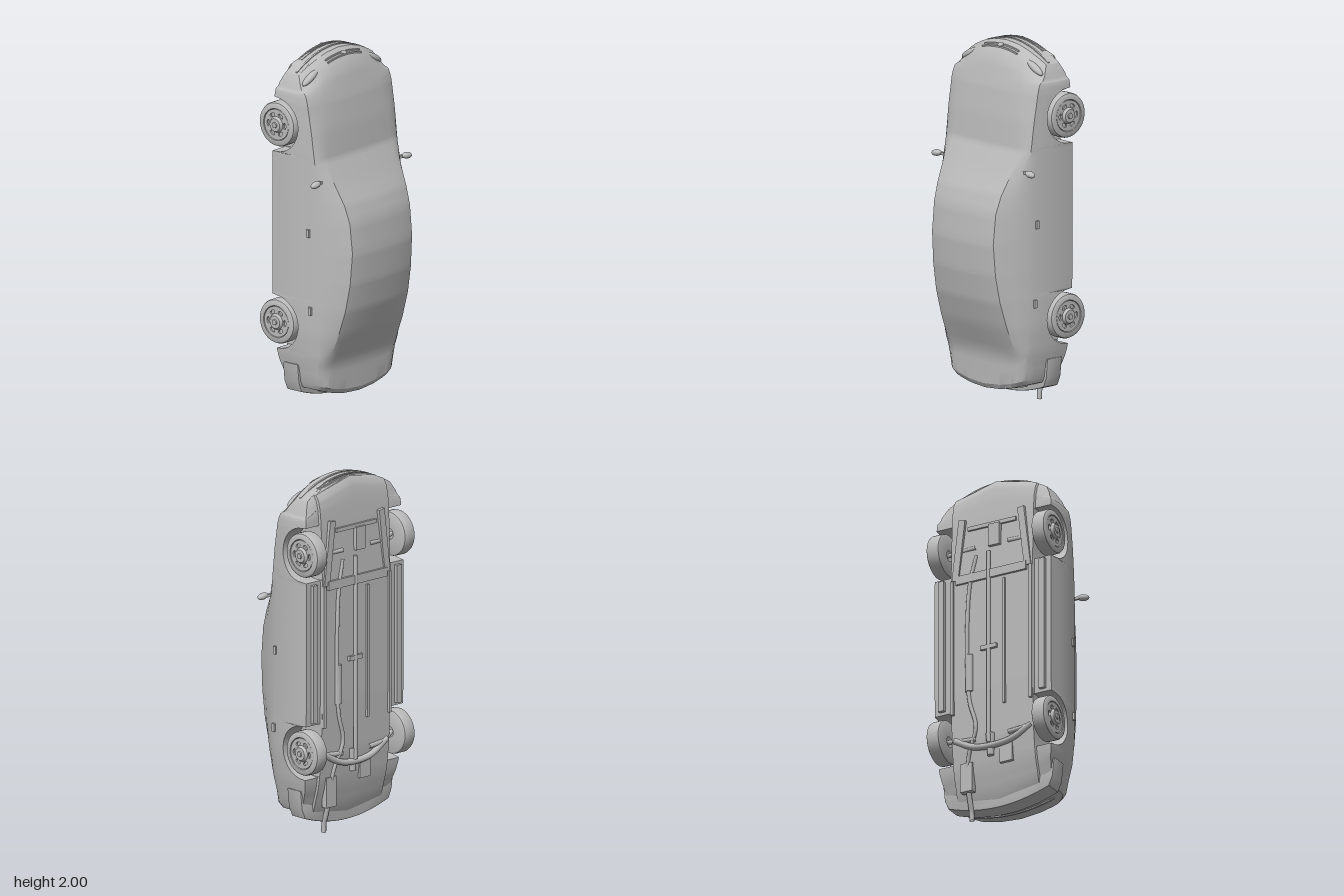
import * as THREE from 'three';
import { toCreasedNormals } from 'three/addons/utils/BufferGeometryUtils.js';

const grey = new THREE.MeshStandardMaterial({ color: 0xbcbcbc, side: THREE.DoubleSide });
grey.name = 'body grey';

const WHEEL_Y = [0.49, 1.61], WHEEL_Z = -0.17, ARCH = 0.152;

// y, half width, roof centre z, roof edge x, roof edge z, belt z, floor z
const PROFILE = [
  [0.075, 0.31, 0.11, 0.24, 0.10, 0.05, -0.13],
  [0.10, 0.325, 0.125, 0.26, 0.115, 0.075, -0.145],
  [0.26, 0.345, 0.13, 0.275, 0.12, 0.09, -0.18],
  [0.32, 0.355, 0.15, 0.275, 0.14, 0.10, -0.19],
  [0.45, 0.368, 0.21, 0.27, 0.19, 0.105, -0.205],
  [0.60, 0.372, 0.26, 0.262, 0.235, 0.105, -0.21],
  [0.75, 0.372, 0.287, 0.255, 0.262, 0.105, -0.215],
  [0.93, 0.372, 0.297, 0.25, 0.275, 0.102, -0.215],
  [1.10, 0.372, 0.28, 0.252, 0.258, 0.10, -0.215],
  [1.20, 0.372, 0.245, 0.26, 0.225, 0.10, -0.215],
  [1.30, 0.372, 0.19, 0.275, 0.175, 0.098, -0.215],
  [1.44, 0.372, 0.122, 0.30, 0.11, 0.085, -0.215],
  [1.60, 0.37, 0.105, 0.29, 0.09, 0.065, -0.21],
  [1.75, 0.366, 0.08, 0.27, 0.062, 0.04, -0.205],
  [1.90, 0.352, 0.04, 0.24, 0.025, 0.0, -0.195],
  [1.96, 0.34, 0.005, 0.22, -0.005, -0.025, -0.185],
  [1.995, 0.31, -0.04, 0.20, -0.045, -0.06, -0.165],
];

function profileAt(y) {
  let i = 0;
  while (i < PROFILE.length - 2 && y > PROFILE[i + 1][0]) i++;
  const a = PROFILE[i], b = PROFILE[i + 1], t = (y - a[0]) / (b[0] - a[0]);
  return a.map((v, k) => v + (b[k] - v) * t);
}

// Bowed nose and tail in plan
const bend = (y) => 0.6 * (1 - THREE.MathUtils.smoothstep(y, 0.1, 0.3)) - THREE.MathUtils.smoothstep(y, 1.78, 1.97);

// Closed section at y, counter-clockwise seen from the nose
function section(y, inArch, scale) {
  const [, w, zc, xr, zr, zBelt, zb] = profileAt(y);
  let lip = zb + 0.012;
  for (const wy of WHEEL_Y) {
    if (inArch) {
      const d = ARCH * ARCH - (y - wy) ** 2;
      if (d > -1e-6) lip = WHEEL_Z + Math.sqrt(Math.max(0, d));
    }
  }
  const side = (z) => w * (1 - 0.045 * ((z + 0.1) / 0.15) ** 2);
  const shoulder = zBelt - 0.045, xb = side(zBelt);
  const half = [
    [0, zc], [xr * 0.5, zc - (zc - zr) * 0.25], [xr * 0.85, zc - (zc - zr) * 0.62], [xr, zr],
    [(xr + xb) / 2 + 0.008, (zr + zBelt) / 2], [xb, zBelt], [side(shoulder), shoulder],
  ];
  for (const t of [0.35, 0.7, 1]) {
    const z = shoulder + (lip - shoulder) * t;
    half.push([side(z), z]);
  }
  half.push([0.26, lip], [0.255, zb], [0, zb]);
  const ring = half.concat(half.slice(1, -1).reverse().map(([x, z]) => [-x, z]));
  const mid = (zc + zb) / 2;
  return ring.map(([x, z]) => {
    const sx = x * scale;
    return [sx, y + bend(y) * sx * sx, mid + (z - mid) * scale];
  });
}

function bodyGeometry() {
  const stations = PROFILE.map((p) => [p[0], false]);
  for (let y = 0.18; y < 1.95; y += 0.04) stations.push([y, false]);
  const outside = stations.filter(([y]) => WHEEL_Y.every((w) => Math.abs(y - w) > ARCH + 0.004));
  for (const wy of WHEEL_Y) {
    outside.push([wy - ARCH - 0.002, false], [wy + ARCH + 0.002, false]);
    for (let k = 0; k <= 16; k++) outside.push([wy - ARCH * Math.cos((k * Math.PI) / 16), true]);
  }
  outside.sort((a, b) => a[0] - b[0]);
  const rings = outside.map(([y, arch]) => section(y, arch, 1));
  const y0 = PROFILE[0][0], y1 = PROFILE[PROFILE.length - 1][0];
  for (const k of [0.8, 0.55, 0.3, 0.001]) {
    rings.unshift(section(y0, false, k));
    rings.push(section(y1, false, k));
  }
  const n = rings[0].length, index = [];
  for (let i = 0; i < rings.length - 1; i++) {
    for (let j = 0; j < n; j++) {
      const a = i * n + j, b = i * n + ((j + 1) % n);
      index.push(a, b, b + n, a, b + n, a + n);
    }
  }
  const g = new THREE.BufferGeometry();
  g.setAttribute('position', new THREE.Float32BufferAttribute(rings.flat(2), 3));
  g.setIndex(index);
  return toCreasedNormals(g, 0.5);
}

export function createModel() {
  const car = new THREE.Group();
  car.name = 'car';
  const add = (name, geometry, x = 0, y = 0, z = 0, parent = car) => {
    const m = new THREE.Mesh(geometry, grey);
    m.name = name;
    m.position.set(x, y, z);
    parent.add(m);
    return m;
  };
  const box = (name, w, h, d, x, y, z) => add(name, new THREE.BoxGeometry(w, h, d), x, y, z);
  // Bar following the bow of the nose or tail
  const bar = (name, w, h, d, y, z, k) => {
    const g = new THREE.BoxGeometry(w, h, d, 16, 1, 1), p = g.attributes.position;
    for (let i = 0; i < p.count; i++) p.setY(i, p.getY(i) + k * p.getX(i) ** 2);
    g.computeVertexNormals();
    return add(name, g, 0, y, z);
  };
  const tube = (name, pts, r) => add(name, new THREE.TubeGeometry(
    new THREE.CatmullRomCurve3(pts.map((p) => new THREE.Vector3(...p))), 32, r, 10), 0, 0, 0);

  add('body', bodyGeometry());

  // Rear bumper
  const outline = [[-0.343, 0.26], [-0.332, 0.16]];
  for (let i = -10; i <= 10; i++) outline.push([i * 0.031, 0.051 + 0.6 * (i * 0.031) ** 2]);
  outline.push([0.332, 0.16], [0.343, 0.26]);
  add('rearBumper', toCreasedNormals(new THREE.ExtrudeGeometry(
    new THREE.Shape(outline.map((p) => new THREE.Vector2(...p))),
    { depth: 0.095, bevelSize: 0.006, bevelThickness: 0.006, bevelSegments: 2 }), 0.6), 0, 0, -0.135);
  bar('bootTrim', 0.5, 0.01, 0.012, 0.074, 0.03, 0.6);

  // Nose trim
  bar('bumperStrip', 0.6, 0.008, 0.012, 1.995, -0.085, -1);
  for (const z of [-0.125, -0.145]) bar('airIntake', 0.42, 0.008, 0.008, 1.994, z, -1);
  for (const z of [-0.012, 0.004]) bar('grilleBar', 0.28, 0.008, 0.007, z < 0 ? 1.972 : 1.96, z, -0.9);
  const badge = add('noseDisc', new THREE.CylinderGeometry(0.02, 0.02, 0.008, 20), 0, 1.97, -0.004);
  badge.rotation.x = 0.6;
  badge.scale.z = 0.7;

  // Wheel parts: tyre, pierced rim, hub
  const tyreShape = [[0.03, -0.04], [0.113, -0.042], [0.122, -0.037], [0.125, -0.028], [0.125, 0.026],
    [0.121, 0.035], [0.112, 0.04], [0.09, 0.041], [0.086, 0.026], [0.03, 0.02]];
  const tyre = toCreasedNormals(new THREE.LatheGeometry(tyreShape.map((p) => new THREE.Vector2(...p)), 40), 0.6);
  tyre.rotateZ(-Math.PI / 2);
  const disc = new THREE.Shape().absarc(0, 0, 0.086, 0, Math.PI * 2);
  for (let i = 0; i < 6; i++) {
    const a = (i * Math.PI) / 3;
    disc.holes.push(new THREE.Path().absellipse(0.058 * Math.cos(a), 0.058 * Math.sin(a), 0.01, 0.018, 0, Math.PI * 2, true, a));
  }
  const rim = new THREE.ExtrudeGeometry(disc, { depth: 0.01, bevelEnabled: false, curveSegments: 24 });
  rim.rotateY(Math.PI / 2);
  const hub = new THREE.CylinderGeometry(0.036, 0.046, 0.016, 24).rotateZ(-Math.PI / 2);
  const cap = new THREE.CylinderGeometry(0.015, 0.017, 0.01, 16).rotateZ(-Math.PI / 2);

  for (const s of [1, -1]) {
    const sideName = s > 0 ? 'left' : 'right';
    WHEEL_Y.forEach((y, i) => {
      const wheel = new THREE.Group();
      wheel.name = sideName + (i ? 'FrontWheel' : 'RearWheel');
      wheel.position.set(s * 0.33, y, WHEEL_Z);
      wheel.rotation.y = s > 0 ? 0 : Math.PI;
      add('tyre', tyre, 0, 0, 0, wheel);
      add('rim', rim, 0.028, 0, 0, wheel);
      add('hub', hub, 0.045, 0, 0, wheel);
      add('hubCap', cap, 0.055, 0, 0, wheel);
      car.add(wheel);
    });
    // Door mirrors
    const mirror = add(sideName + 'Mirror', new THREE.SphereGeometry(1, 20, 14), s * 0.382, 1.325, 0.124);
    mirror.scale.set(0.036, 0.018, 0.021);
    mirror.rotation.z = -s * 0.15;
    box(sideName + 'MirrorArm', 0.05, 0.016, 0.014, s * 0.345, 1.325, 0.115);
    // Door handles
    box(sideName + 'FrontHandle', 0.014, 0.045, 0.018, s * 0.36, 1.03, 0.05);
    box(sideName + 'RearHandle', 0.014, 0.045, 0.018, s * 0.359, 0.59, 0.063);
    // Headlamps
    const lamp = add(sideName + 'Headlamp', new THREE.SphereGeometry(1, 20, 12), s * 0.265, 1.882, -0.016);
    lamp.scale.set(0.07, 0.02, 0.022);
    lamp.rotation.z = -s * 0.48;
    // Sills and floor rails
    box(sideName + 'Sill', 0.035, 0.78, 0.02, s * 0.315, 1.05, -0.214);
    box(sideName + 'FloorRail', 0.018, 0.8, 0.016, s * 0.245, 1.02, -0.219);
    // Front subframe legs and suspension arms
    const leg = box(sideName + 'SubframeLeg', 0.04, 0.36, 0.02, s * 0.205, 1.6, -0.214);
    leg.rotation.z = s * 0.12;
    tube(sideName + 'FrontArm', [[s * 0.1, 1.6, -0.21], [s * 0.2, 1.6, -0.2], [s * 0.31, 1.61, -0.17]], 0.012);
    tube(sideName + 'RearArm', [[s * 0.1, 0.45, -0.205], [s * 0.2, 0.46, -0.2], [s * 0.31, 0.49, -0.17]], 0.014);
  }

  // Underbody
  box('frontCrossmember', 0.44, 0.05, 0.022, 0, 1.42, -0.218);
  box('engineSump', 0.07, 0.13, 0.03, -0.02, 1.65, -0.215);
  box('steeringRack', 0.3, 0.022, 0.018, 0, 1.72, -0.21);
  tube('rearCrossmember', [[-0.24, 0.47, -0.2], [-0.1, 0.4, -0.21], [0.1, 0.4, -0.21], [0.24, 0.47, -0.2]], 0.018);
  box('centreRail', 0.014, 0.75, 0.014, -0.08, 1.0, -0.219);
  box('driveshaftMount', 0.1, 0.025, 0.018, 0.015, 0.98, -0.222);
  add('driveshaft', new THREE.CylinderGeometry(0.011, 0.011, 1.15, 12), 0.015, 0.98, -0.223);
  add('differential', new THREE.CylinderGeometry(0.028, 0.018, 0.13, 12), 0.015, 0.4, -0.2);
  box('rearTank', 0.08, 0.12, 0.02, -0.08, 0.34, -0.192);

  // Exhaust
  tube('exhaustPipe', [[0.1, 1.55, -0.21], [0.14, 1.35, -0.219], [0.14, 0.7, -0.22], [0.1, 0.52, -0.215],
    [0.15, 0.38, -0.2], [0.17, 0.28, -0.185]], 0.011);
  const silencer = add('middleSilencer', new THREE.CylinderGeometry(0.022, 0.022, 0.22, 14), 0.14, 0.85, -0.218);
  silencer.scale.z = 0.75;
  box('rearSilencer', 0.075, 0.17, 0.036, 0.17, 0.24, -0.18);
  tube('tailpipe', [[0.17, 0.18, -0.175], [0.17, 0.1, -0.152], [0.17, 0.05, -0.137], [0.17, 0.002, -0.135]], 0.014);

  return car;
}
